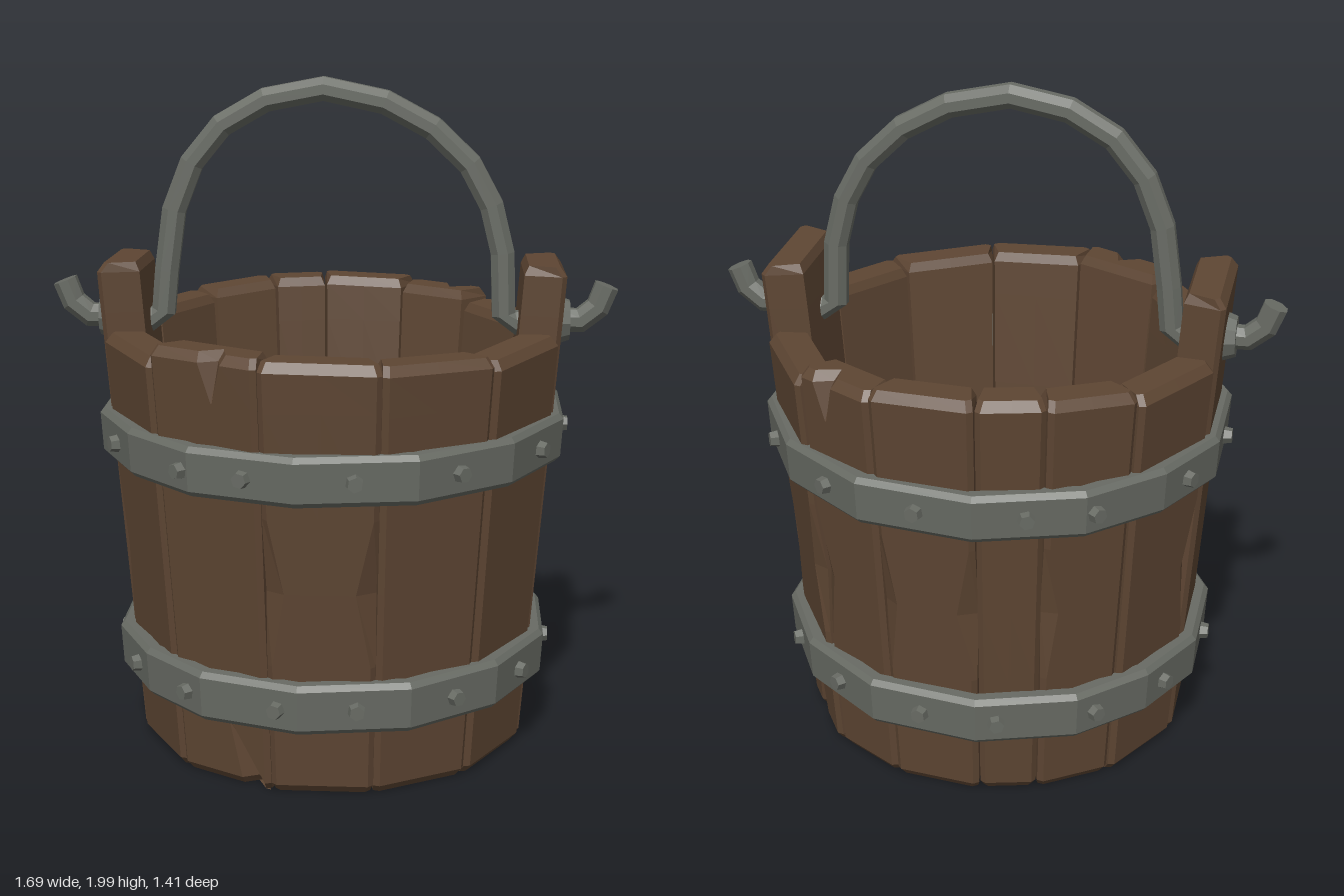
import * as THREE from 'three';

const wood = new THREE.MeshStandardMaterial({ color: 0x5e4633 });
wood.name = 'brown wood';
const metal = new THREE.MeshStandardMaterial({ color: 0x686b64 });
metal.name = 'grey iron';

const rad = THREE.MathUtils.degToRad;

function add(parent, name, geometry, material) {
  const mesh = new THREE.Mesh(geometry, material);
  mesh.name = name;
  parent.add(mesh);
  return mesh;
}

// Flat-shaded skin over rings of Vector3; either capped at both ends or closed into a loop.
function loft(rings, closed = false) {
  const n = rings[0].length, tris = [];
  const count = closed ? rings.length : rings.length - 1;
  for (let i = 0; i < count; i++) {
    const a = rings[i], b = rings[(i + 1) % rings.length];
    for (let j = 0; j < n; j++) {
      const k = (j + 1) % n;
      tris.push([a[j], b[j], b[k]], [a[j], b[k], a[k]]);
    }
  }
  if (!closed) {
    const a = rings[0], b = rings[rings.length - 1];
    for (let j = 1; j < n - 1; j++) tris.push([a[0], a[j], a[j + 1]], [b[0], b[j + 1], b[j]]);
  }
  // Turn the faces outward
  const cross = new THREE.Vector3();
  const volume = tris.reduce((v, [p, q, r]) => v + p.dot(cross.crossVectors(q, r)), 0);
  const points = tris.flatMap(([p, q, r]) => (volume < 0 ? [p, r, q] : [p, q, r]));
  const geometry = new THREE.BufferGeometry().setFromPoints(points);
  geometry.computeVertexNormals();
  return geometry;
}

// One tapered plank with chamfers, worn edges and optional V splits at its ends
function staveGeometry({ from, to, top, chips = [0, 0], split = null, lowSplit = null, tilt = 0 }) {
  const mid = rad((from + to) / 2), half = rad((to - from) / 2);
  const thick = 0.122, gap = 0.004, bevel = 0.014;
  const levels = [
    { y: 0, inset: 0.018, low: 1 },
    { y: 0.025, low: 0.85 },
    { y: 0.2 },
    { y: 0.4 },
    { y: 0.62, chip: 1 },
    { y: 0.84 },
    { y: top - 0.14 },
    { y: top - 0.028, cut: 0.8 },
    { y: top, inset: 0.022, cut: 1 },
  ];
  return loft(levels.map(({ y, inset = 0, low = 0, chip = 0, cut = 0 }) => {
    const apo = 0.575 + 0.075 * y;
    const outer = apo - inset, inner = apo - thick + inset * 0.5;
    const wOut = apo * Math.tan(half) - gap - inset * 0.5;
    const wIn = (apo - thick) * Math.tan(half) - gap - inset * 0.5;
    const cL = bevel + chip * chips[0], cR = bevel + chip * chips[1];
    const splitAt = (cut ? split : low ? lowSplit : null);
    const depth = splitAt === null ? 0 : Math.max(cut, low) * 0.06;
    const u = splitAt ?? (split ?? lowSplit ?? 0);
    const w = 0.004 + depth * 0.7;
    const section = [
      [0, inner], [-wIn, inner],
      [-wOut, outer - bevel - chip * chips[0] * 0.5], [-wOut + cL, outer],
      [u - w, outer], [u, outer - depth], [u + w, outer],
      [wOut - cR, outer], [wOut, outer - bevel - chip * chips[1] * 0.5],
      [wIn, inner],
    ];
    return section.map(([t, r]) => new THREE.Vector3(
      r * Math.cos(mid) - t * Math.sin(mid),
      y + (cut ? tilt * t : 0),
      r * Math.sin(mid) + t * Math.cos(mid)));
  }));
}

// Angles run from the model's left (+x) round through the front (+z)
const staves = [
  { from: -15, to: 15, top: 1.46, tilt: 0.04 },
  { from: 15, to: 46, top: 1.265, tilt: -0.03 },
  { from: 46, to: 75.5, top: 1.275, tilt: 0.02 },
  { from: 75.5, to: 104.5, top: 1.285, chips: [0.045, 0.04], tilt: 0.02 },
  { from: 104.5, to: 135, top: 1.295, split: -0.03, lowSplit: -0.1 },
  { from: 135, to: 165, top: 1.26, chips: [0, 0.02], tilt: 0.03 },
  { from: 165, to: 195, top: 1.46, tilt: -0.04 },
  { from: 195, to: 224, top: 1.27, chips: [0.04, 0] },
  { from: 224, to: 247, top: 1.29, chips: [0, 0.03], tilt: 0.05 },
  { from: 247, to: 264, top: 1.3 },
  { from: 264, to: 290, top: 1.3, chips: [0.04, 0.03], tilt: -0.02 },
  { from: 290, to: 314, top: 1.285, chips: [0, 0.04], split: 0.04 },
  { from: 314, to: 345, top: 1.25, chips: [0.03, 0.05], lowSplit: 0.02 },
];

// Hoop outline: front half, mirrored to the back
const halfOutline = [[0.68, 0.17], [0.53, 0.45], [0.27, 0.65], [-0.07, 0.7], [-0.37, 0.6], [-0.56, 0.41], [-0.68, 0.17]];
const outline = [...halfOutline, ...halfOutline.map(([x, z]) => [x, -z]).reverse()];
const hoopScale = (y) => 1 + 0.09 * (y - 0.96);

function hoopGeometry(y0, y1) {
  const profile = [[-0.014, y0], [0, y0 + 0.016], [0, y1 - 0.016], [-0.014, y1], [-0.045, y1], [-0.045, y0]];
  return loft(outline.map(([x, z]) => profile.map(([off, y]) => {
    const s = hoopScale(y) + off / 0.68;
    return new THREE.Vector3(x * s, y, z * s);
  })), true);
}

// Point and outward direction where a ray at the given angle meets the hoop outline
function onHoop(angle) {
  const dx = Math.cos(angle), dz = Math.sin(angle);
  for (let i = 0; i < outline.length; i++) {
    const [ax, az] = outline[i], [bx, bz] = outline[(i + 1) % outline.length];
    const sa = dx * az - dz * ax, sb = dx * bz - dz * bx;
    if (sa <= 0 && sb > 0 && ax * dx + az * dz > 0) {
      const t = sa / (sa - sb);
      const normal = new THREE.Vector3(bz - az, 0, ax - bx).normalize();
      return { x: ax + (bx - ax) * t, z: az + (bz - az) * t, normal };
    }
  }
}

// Round bar following points in the xy plane, capped at both ends
function barGeometry(path, radius, sides = 8) {
  const pts = path.map(([x, y]) => new THREE.Vector2(x, y));
  return loft(pts.map((p, i) => {
    const before = pts[Math.max(i - 1, 0)], after = pts[Math.min(i + 1, pts.length - 1)];
    const dir = after.clone().sub(before).normalize();
    return Array.from({ length: sides }, (_, j) => {
      const a = ((j + 0.5) / sides) * Math.PI * 2, c = Math.cos(a) * radius;
      return new THREE.Vector3(p.x - dir.y * c, p.y + dir.x * c, Math.sin(a) * radius);
    });
  }));
}

export function createModel() {
  const bucket = new THREE.Group();
  bucket.name = 'bucket';

  // Wooden wall and floor
  const wall = new THREE.Group();
  wall.name = 'staves';
  bucket.add(wall);
  staves.forEach((s) => add(wall, s.top > 1.4 ? 'tallStave' : 'stave', staveGeometry(s), wood));
  const floor = new THREE.CylinderGeometry(0.5, 0.5, 0.06, 24).toNonIndexed();
  floor.computeVertexNormals();
  add(bucket, 'floor', floor, wood).position.y = 0.08;

  // Iron hoops with hexagonal rivets
  const rivet = new THREE.CylinderGeometry(0.022, 0.03, 0.05, 6).toNonIndexed();
  rivet.computeVertexNormals();
  const up = new THREE.Vector3(0, 1, 0);
  const hoops = [
    { name: 'upperHoop', y0: 0.89, y1: 1.035, angles: [0, 26.5, 56, 82, 108, 124, 153, 180] },
    { name: 'lowerHoop', y0: 0.21, y1: 0.36, angles: [0, 28, 54, 81, 101, 127, 151, 180] },
  ];
  for (const { name, y0, y1, angles } of hoops) {
    const group = new THREE.Group();
    group.name = name;
    bucket.add(group);
    add(group, 'band', hoopGeometry(y0, y1), metal);
    const y = (y0 + y1) / 2, s = hoopScale(y);
    const all = [...angles, ...angles.slice(1, -1).map((a) => -a)];
    for (const a of all) {
      const { x, z, normal } = onHoop(rad(a));
      const head = add(group, 'rivet', rivet, metal);
      head.position.set(x * s, y, z * s);
      head.quaternion.setFromUnitVectors(up, normal);
    }
  }

  // Arched handle whose ends pass through the tall staves and hook upward
  const handlePath = [
    [-0.81, 1.385], [-0.785, 1.32], [-0.735, 1.28], [-0.67, 1.28], [-0.545, 1.27], [-0.512, 1.295],
    [-0.5, 1.42], [-0.475, 1.6], [-0.42, 1.74], [-0.33, 1.85], [-0.2, 1.925], [-0.03, 1.958],
    [0.15, 1.92], [0.29, 1.845], [0.4, 1.74], [0.465, 1.62], [0.5, 1.48],
    [0.507, 1.295], [0.545, 1.27], [0.67, 1.28], [0.735, 1.28], [0.785, 1.32], [0.81, 1.385],
  ];
  add(bucket, 'handle', barGeometry(handlePath, 0.038), metal);

  // Washers where the handle leaves the staves
  const washer = new THREE.CylinderGeometry(0.06, 0.076, 0.045, 10).toNonIndexed();
  washer.computeVertexNormals();
  for (const side of [-1, 1]) {
    const mesh = add(bucket, 'washer', washer, metal);
    mesh.position.set(side * 0.68, 1.28, 0);
    mesh.rotation.z = -side * Math.PI / 2;
  }
  return bucket;
}
